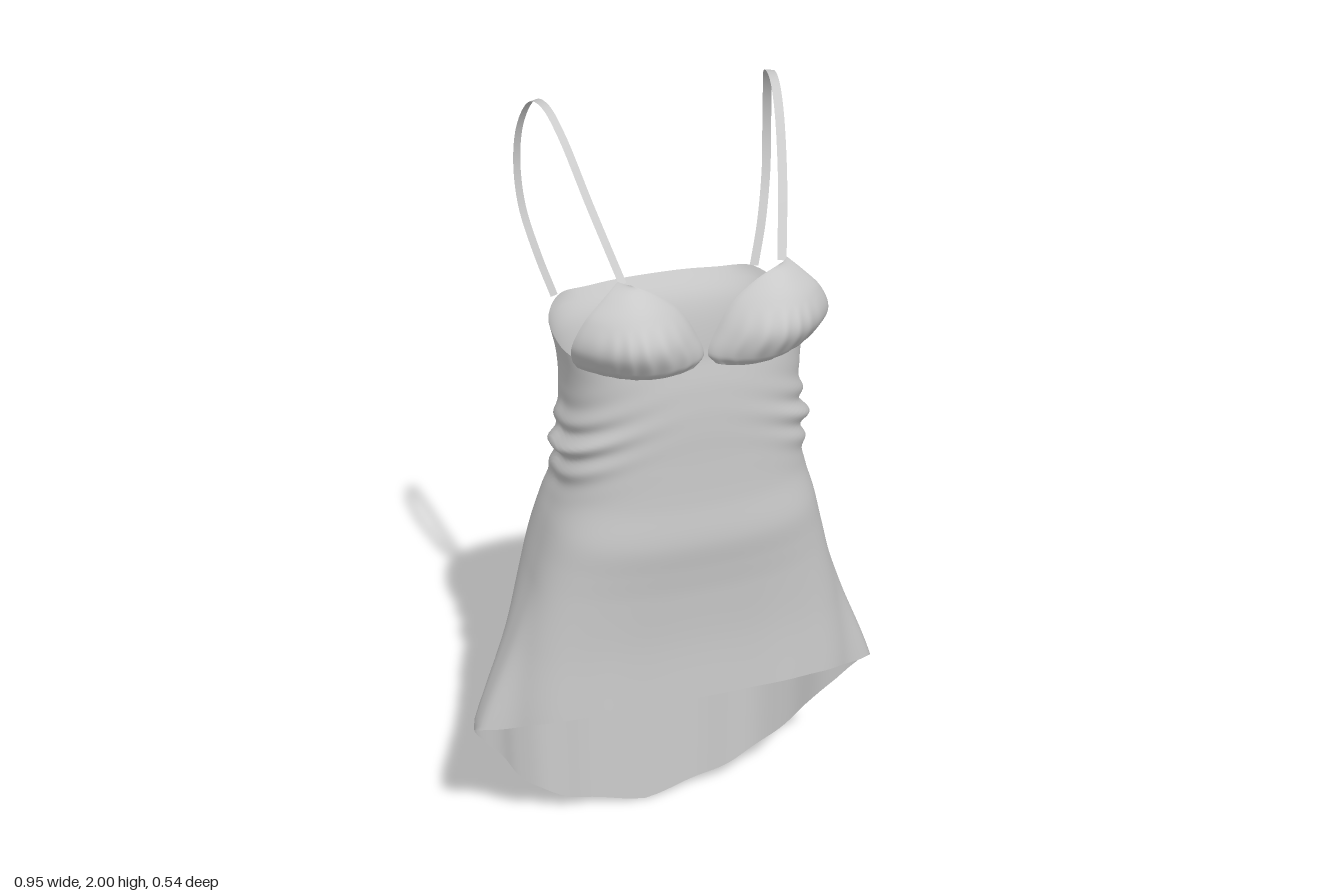
import * as THREE from 'three';

const fabric = new THREE.MeshStandardMaterial({ color: 0xcccccc, side: THREE.DoubleSide });

// Smooth lookup through [position, value...] keys sorted by position
function sample(keys, t, k = 1) {
  const last = keys.length - 1;
  if (t <= keys[0][0]) return keys[0][k];
  if (t >= keys[last][0]) return keys[last][k];
  let i = 0;
  while (t > keys[i + 1][0]) i++;
  const slope = (n) => {
    const a = keys[Math.max(n - 1, 0)], b = keys[Math.min(n + 1, last)];
    return (b[k] - a[k]) / (b[0] - a[0]);
  };
  const h = keys[i + 1][0] - keys[i][0], s = (t - keys[i][0]) / h;
  const s2 = s * s, s3 = s2 * s;
  return (2 * s3 - 3 * s2 + 1) * keys[i][k] + (s3 - 2 * s2 + s) * h * slope(i)
    + (3 * s2 - 2 * s3) * keys[i + 1][k] + (s3 - s2) * h * slope(i + 1);
}

const bell = (x, centre, width) => Math.exp(-(((x - centre) / width) ** 2));

// Grid surface: rows run downwards, columns run to the right seen from outside
function sheet(name, rows, cols, wrap, point) {
  const pos = [], index = [], n = wrap ? cols : cols + 1;
  for (let i = 0; i <= rows; i++)
    for (let j = 0; j < n; j++) pos.push(...point(j / cols, i / rows));
  for (let i = 0; i < rows; i++)
    for (let j = 0; j < cols; j++) {
      const a = i * n + j, d = i * n + ((j + 1) % n), b = a + n, c = d + n;
      index.push(a, b, d, b, c, d);
    }
  const g = new THREE.BufferGeometry();
  g.setAttribute('position', new THREE.Float32BufferAttribute(pos, 3));
  g.setIndex(index);
  g.computeVertexNormals();
  const mesh = new THREE.Mesh(g, fabric);
  mesh.name = name;
  return mesh;
}

// Body sections: height, half width, front z, back z
const sections = [
  [0, 0.395, 0.18, -0.255], [0.4, 0.4, 0.18, -0.256], [0.6, 0.4, 0.18, -0.256],
  [0.8, 0.368, 0.181, -0.256], [0.95, 0.335, 0.193, -0.254], [1.02, 0.318, 0.203, -0.24],
  [1.1, 0.298, 0.215, -0.203], [1.2, 0.268, 0.212, -0.16], [1.3, 0.258, 0.213, -0.143],
  [1.4, 0.25, 0.216, -0.141], [1.48, 0.253, 0.214, -0.152], [1.545, 0.265, 0.208, -0.182],
];
// Hem height by angle from the front, in degrees
const hem = [
  [0, 0.655], [30, 0.643], [60, 0.612], [80, 0.575], [90, 0.55], [97, 0.48], [103, 0.41],
  [112, 0.33], [129, 0.21], [155, 0.075], [180, 0],
];

function bodyPoint(u, v) {
  const angle = u * Math.PI * 2, s = Math.sin(angle), c = Math.cos(angle);
  const deg = 180 - Math.abs(u * 360 - 180);
  const top = 1.54 + 0.03 * bell(deg, 0, 10) + 0.012 * bell(deg, 133, 14);
  const y = top + (sample(hem, deg) - top) * v;
  const bend = (q) => Math.sign(q) * Math.abs(q) ** 0.74;
  let x = sample(sections, y, 1) * bend(s);
  const mid = 0.02, edge = sample(sections, y, c > 0 ? 2 : 3);
  let z = mid + Math.abs(edge - mid) * bend(c);

  // Pointed drape at each side of the hem
  const drop = THREE.MathUtils.clamp((0.95 - y) / 0.4, 0, 1);
  x += Math.sign(s) * 0.075 * drop ** 1.6 * bell(deg, 91, 12);

  // Slanting gathers around the waist, falling towards the back
  const line = 1.43 - 0.0016 * deg;
  const fold = bell(y, line, 0.075) * bell(deg, 82, 38);
  const push = fold * (0.011 + 0.012 * Math.cos((y - line) * 95));
  x += s * push;
  z += c * push;

  // Seat lobes, and soft vertical waves in the skirt
  z += 0.012 * bell(y, 1.03, 0.1) * bell(deg, 180, 7);
  z += 0.004 * drop * Math.cos(angle * 14) * c * c * (c < 0 ? 1 : 0.4);
  return [x, y, z];
}

// Cup outline from bottom to tip: fraction, height, inner x, outer x, outer z
const cupRows = [
  [0, 1.535, 0.022, 0.25, 0.145], [0.12, 1.56, 0.004, 0.263, 0.158],
  [0.35, 1.61, 0.02, 0.27, 0.185], [0.65, 1.67, 0.055, 0.245, 0.197],
  [0.85, 1.712, 0.102, 0.207, 0.196], [1, 1.742, 0.155, 0.175, 0.19],
];
const cupBulge = [[0, 0.04], [0.12, 0.066], [0.4, 0.08], [0.7, 0.05], [1, 0.003]];

function cupPoint(side) {
  return (u, v) => {
    const a = side > 0 ? u : 1 - u, t = 1 - v;
    const inner = sample(cupRows, t, 2), outer = sample(cupRows, t, 3);
    const x = inner + (outer - inner) * a;
    const dome = Math.sin(Math.PI * a) ** 0.75;
    // Gathers fade out towards the tip
    const gather = Math.max(0, 1 - t * 1.6) * Math.sin(Math.PI * a);
    const ripple = Math.sin(a * 44 + Math.sin(a * 9)) * gather;
    const z = 0.212 + (sample(cupRows, t, 4) - 0.212) * a
      + sample(cupBulge, t) * dome + 0.0065 * ripple;
    const y = sample(cupRows, t, 1) + 0.004 * ripple - 0.008 * gather * (1 - t);
    return [side * x, y, z];
  };
}

// Strap path from cup tip over the shoulder to the back edge
const strapPath = new THREE.CatmullRomCurve3([
  [0.165, 1.735, 0.19], [0.2, 1.86, 0.085], [0.226, 1.965, -0.02], [0.239, 1.998, -0.09],
  [0.25, 1.985, -0.155], [0.265, 1.92, -0.2], [0.272, 1.83, -0.218],
  [0.268, 1.73, -0.205], [0.247, 1.63, -0.168], [0.222, 1.545, -0.138],
].map((p) => new THREE.Vector3(...p)));

function strapPoint(side) {
  return (u, v) => {
    const p = strapPath.getPoint(1 - v);
    const w = (u - 0.5) * 0.017;
    return [side * p.x + w, p.y, p.z + side * w * 0.45];
  };
}

export function createModel() {
  const dress = new THREE.Group();
  dress.name = 'slipDress';
  dress.add(sheet('dressBody', 110, 180, true, bodyPoint));
  for (const side of [1, -1]) {
    const label = side > 0 ? 'left' : 'right';
    dress.add(sheet(label + 'Cup', 36, 72, false, cupPoint(side)));
    dress.add(sheet(label + 'Strap', 60, 2, false, strapPoint(side)));
  }
  return dress;
}
